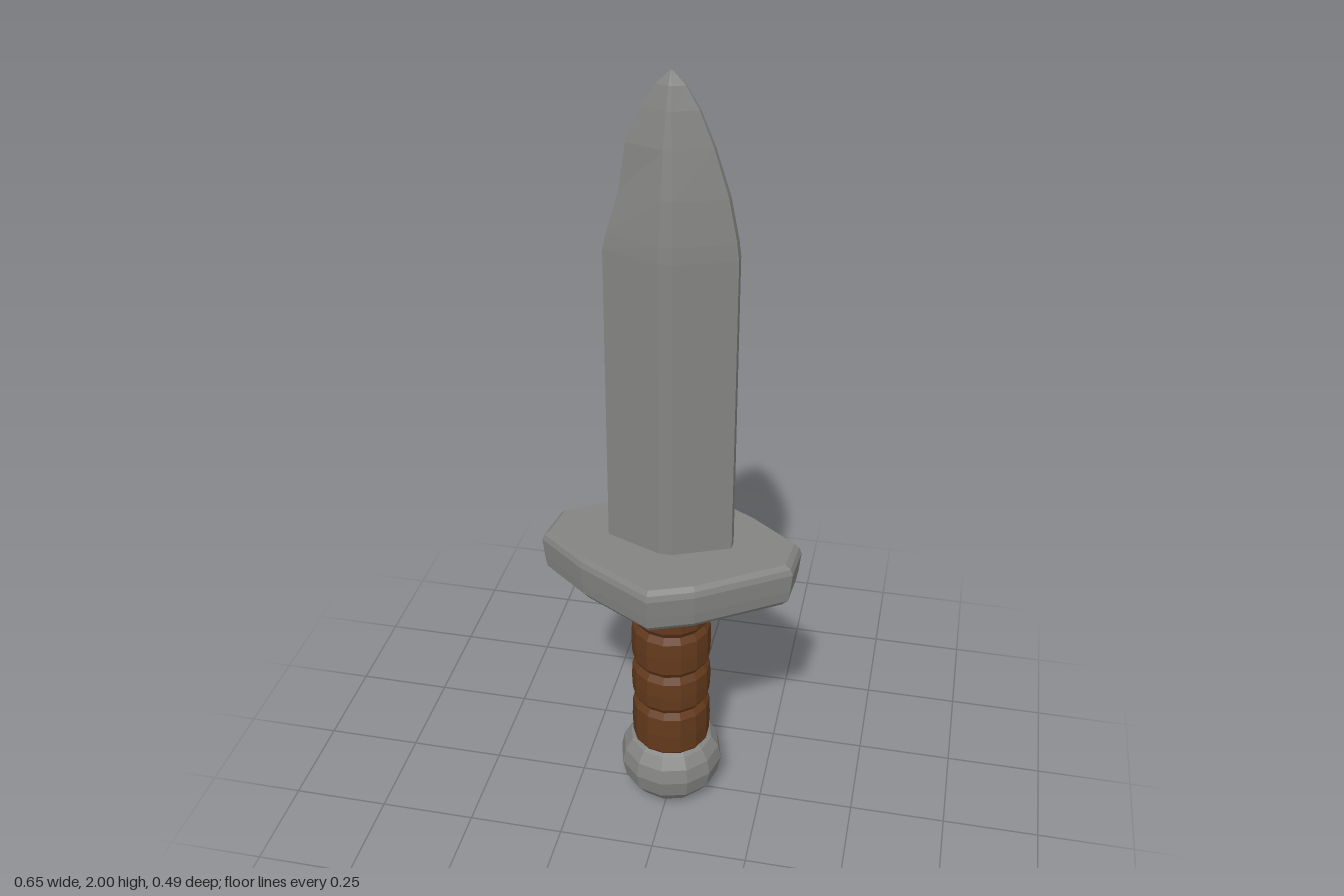
import * as THREE from 'three';

// Skin a stack of rings (each a list of [x, y, z], counter-clockwise from above) and cap both ends.
function loft(rings) {
  const n = rings[0].length;
  const pos = rings.flat(2);
  const idx = [];
  for (let i = 0; i < rings.length - 1; i++) {
    for (let j = 0; j < n; j++) {
      const k = (j + 1) % n;
      const a = i * n + j, b = i * n + k, c = a + n, d = b + n;
      idx.push(a, b, d, a, d, c);
    }
  }
  const top = (rings.length - 1) * n;
  for (let j = 1; j < n - 1; j++) {
    idx.push(0, j + 1, j, top, top + j, top + j + 1);
  }
  const g = new THREE.BufferGeometry();
  g.setAttribute('position', new THREE.Float32BufferAttribute(pos, 3));
  g.setIndex(idx);
  const flat = g.toNonIndexed();
  flat.computeVertexNormals();
  return flat;
}

function lathe(points, sides) {
  const g = new THREE.LatheGeometry(points.map(([r, y]) => new THREE.Vector2(r, y)), sides);
  const flat = g.toNonIndexed();
  flat.computeVertexNormals();
  return flat;
}

export function createModel() {
  const group = new THREE.Group();
  const steel = new THREE.MeshStandardMaterial({ color: 0x848482 });
  steel.name = 'steel';
  const leather = new THREE.MeshStandardMaterial({ color: 0x633a1c });
  leather.name = 'brown leather';
  const add = (name, geometry, material) => {
    const mesh = new THREE.Mesh(geometry, material);
    mesh.name = name;
    group.add(mesh);
  };

  // Blade: diamond sections with blunt edges; [y, left extent, right extent, half depth]
  const bladeRings = [
    [0.80, 0.157, 0.155, 0.074],
    [1.20, 0.156, 0.155, 0.072],
    [1.59, 0.155, 0.155, 0.069],
    [1.63, 0.146, 0.150, 0.067],
    [1.73, 0.116, 0.130, 0.057],
    [1.84, 0.100, 0.095, 0.041],
    [1.92, 0.064, 0.062, 0.027],
    [1.97, 0.034, 0.032, 0.015],
    [2.00, 0.003, 0.003, 0.002],
  ].map(([y, l, r, d]) => [
    [r, y, 0.2 * d], [r, y, -0.2 * d], [0.1 * r, y, -d], [-0.1 * l, y, -d],
    [-l, y, -0.2 * d], [-l, y, 0.2 * d], [-0.1 * l, y, d], [0.1 * r, y, d],
  ]);
  add('blade', loft(bladeRings), steel);

  // Guard: uneven diamond slab with bevelled rims
  const outline = [
    [0.315, 0.06], [0.323, -0.04], [0.2, -0.135], [0.02, -0.243], [-0.03, -0.24],
    [-0.31, -0.07], [-0.325, 0.035], [-0.2, 0.135], [-0.01, 0.243], [0.1, 0.2],
  ];
  const guardRings = [
    [0.70, 0.92], [0.715, 0.97], [0.745, 0.985], [0.795, 1], [0.81, 0.98], [0.822, 0.94],
  ].map(([y, s]) => outline.map(([x, z]) => [x * s, y, z * s]));
  add('guard', loft(guardRings), steel);

  // Grip: four wrapped bands separated by narrow grooves
  const joints = [0.18, 0.325, 0.445, 0.575, 0.705];
  const profile = [];
  for (let i = 0; i < 4; i++) {
    const a = joints[i], b = joints[i + 1];
    profile.push([0.091, a], [0.102, a + 0.018], [0.104, (a + b) / 2], [0.102, b - 0.018]);
  }
  profile.push([0.098, 0.705]);
  add('grip', lathe(profile, 14), leather);

  // Pommel: rounded faceted knob
  add('pommel', lathe([
    [0, 0], [0.055, 0.006], [0.098, 0.026], [0.128, 0.065], [0.138, 0.115],
    [0.13, 0.155], [0.11, 0.185], [0.085, 0.198], [0, 0.198],
  ], 12), steel);

  return group;
}
